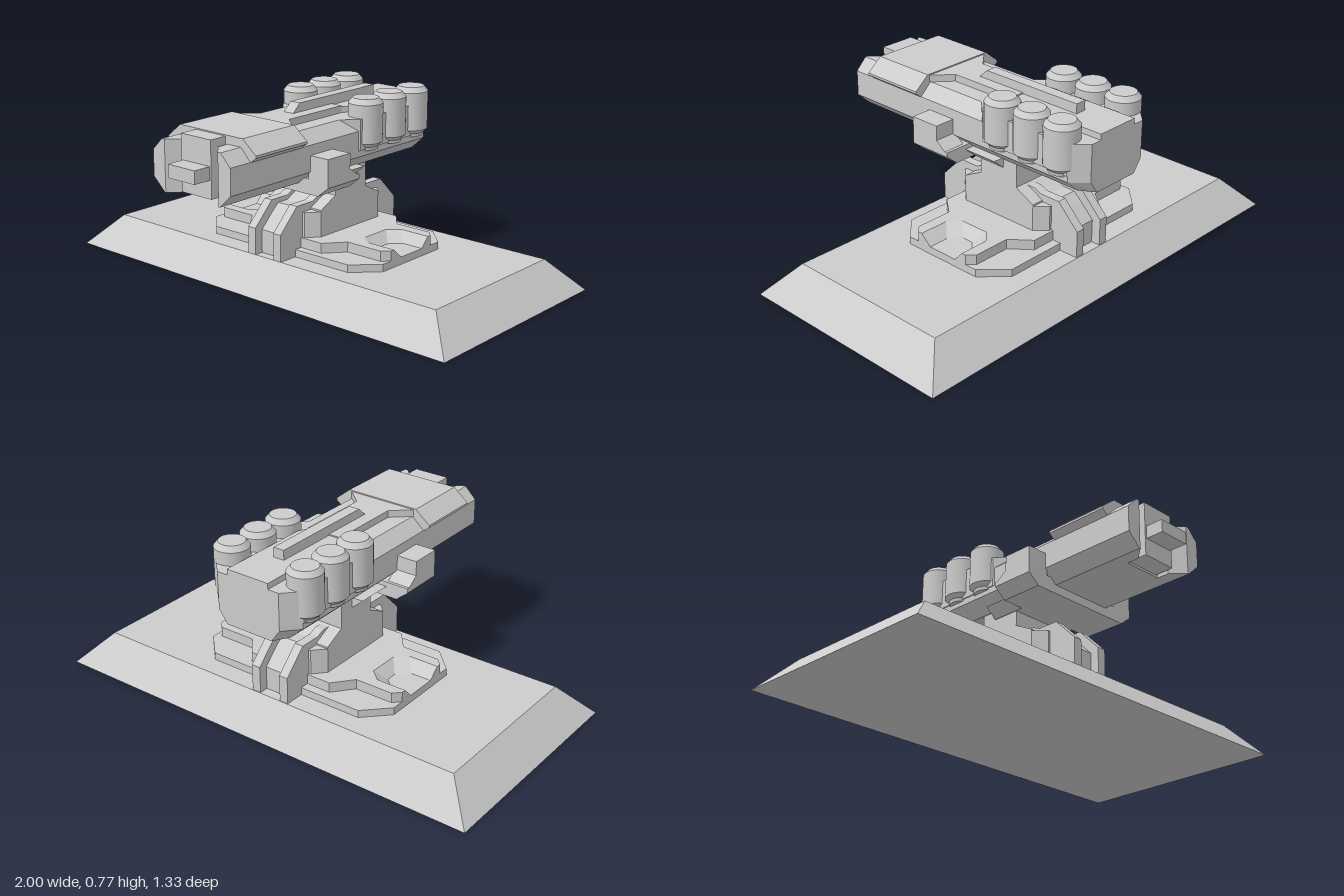
import * as THREE from 'three';
import { toCreasedNormals } from 'three/addons/utils/BufferGeometryUtils.js';

const material = new THREE.MeshStandardMaterial({ color: 0xcccccc, flatShading: true });
const smooth = new THREE.MeshStandardMaterial({ color: 0xcccccc });

// Solid between two outlines of equal point count, from h0 to h1 (along y)
function loft(a, b, h0, h1) {
  let lo = a.map(p => new THREE.Vector2(...p)), hi = b.map(p => new THREE.Vector2(...p));
  if (THREE.ShapeUtils.isClockWise(lo)) { lo.reverse(); hi.reverse(); }
  const pos = [], n = lo.length;
  const put = (p, h) => pos.push(p.x, h, -p.y);
  for (let i = 0; i < n; i++) {
    const j = (i + 1) % n;
    put(lo[i], h0); put(lo[j], h0); put(hi[j], h1);
    put(lo[i], h0); put(hi[j], h1); put(hi[i], h1);
  }
  for (const f of THREE.ShapeUtils.triangulateShape(hi, [])) f.forEach(i => put(hi[i], h1));
  for (const f of THREE.ShapeUtils.triangulateShape(lo, [])) [f[0], f[2], f[1]].forEach(i => put(lo[i], h0));
  const g = new THREE.BufferGeometry();
  g.setAttribute('position', new THREE.Float32BufferAttribute(pos, 3));
  g.computeVertexNormals();
  return g;
}
// Plan outlines (x, z) rising along y
const plan = (a, y0, y1, b = a) => loft(a.map(([x, z]) => [x, -z]), b.map(([x, z]) => [x, -z]), y0, y1);
// Front outlines (x, y) running along z
const front = (a, z0, z1, b = a) => loft(a, b, z0, z1).rotateX(Math.PI / 2);
// Side outlines (z, y) running along x
function side(pts, x0, x1) {
  const shape = new THREE.Shape(pts.map(p => new THREE.Vector2(...p)));
  return new THREE.ExtrudeGeometry(shape, { depth: x1 - x0, bevelEnabled: false })
    .rotateY(-Math.PI / 2).translate(x1, 0, 0);
}
const box = (x0, x1, y0, y1, z0, z1) => new THREE.BoxGeometry(x1 - x0, y1 - y0, z1 - z0)
  .translate((x0 + x1) / 2, (y0 + y1) / 2, (z0 + z1) / 2);
const rect = (x, z0, z1) => [[-x, z0], [x, z0], [x, z1], [-x, z1]];
// Complete a right-hand half outline by mirroring in x
const mirror = half => [...half, ...half.map(([x, v]) => [-x, v]).reverse()];

export function createModel() {
  const model = new THREE.Group();
  const add = (name, geometry, mat = material) => {
    const m = new THREE.Mesh(geometry, mat);
    m.name = name;
    model.add(m);
    return m;
  };
  const MID = -0.163; // centre of the mount in z
  const zMirror = half => [...half, ...half.map(([z, y]) => [2 * MID - z, y]).reverse()];

  // Sloped foundation
  add('foundation', plan(rect(1, -0.66, 0.33), 0, 0.135, rect(0.87, -0.54, 0.21)));

  // Stepped turntable plates with a sloping pocket on each side
  add('turntableLower', plan(mirror([
    [0.37, 0.12], [0.47, 0.02], [0.47, -0.35], [0.37, -0.45]]), 0.13, 0.167));
  const tier = (x, za, zb) => mirror([
    [0.2, 0.085], [0.27, 0.0], [0.44, 0.0], [0.47, -0.03], [0.47, za], [x + 0.05, za], [x, za - 0.045],
    [x, zb + 0.045], [x + 0.05, zb], [0.47, zb], [0.47, -0.295], [0.44, -0.326], [0.27, -0.326], [0.2, -0.411]]);
  add('turntableUpper', plan(tier(0.33, -0.1, -0.235), 0.165, 0.21, tier(0.285, -0.05, -0.276)));

  // Pedestal: chamfered column, neck and paired buttresses
  add('pedestalColumn', plan(mirror([
    [0.1, 0.075], [0.147, 0.025], [0.147, -0.35], [0.1, -0.4]]), 0.13, 0.318));
  add('neck', side(zMirror([[0.025, 0.31], [0.025, 0.325], [-0.065, 0.37], [-0.065, 0.48]]), -0.147, 0.147));
  const ribProfile = zMirror([[0.21, 0.13], [0.21, 0.25], [0.11, 0.35], [0.015, 0.35], [-0.02, 0.365]]);
  for (const s of [-1, 1]) {
    add('buttress', side(ribProfile, s * 0.07 - 0.02, s * 0.07 + 0.02));
  }
  add('buttressCore', side(zMirror([[0.17, 0.13], [0.17, 0.235], [0.11, 0.295], [0.07, 0.33]]), -0.05, 0.05));

  // Cradle under the gun with side arms
  add('cradle', front(mirror([[0.25, 0.437], [0.303, 0.48], [0.303, 0.5]]), -0.03, 0.165));
  add('cradleTail', front(mirror([[0.15, 0.437], [0.2, 0.48]]), -0.19, -0.03));
  for (const s of [-1, 1]) {
    add('cradleArm', side([[0.165, 0.49], [0.165, 0.598], [0.03, 0.598], [0.03, 0.535], [-0.03, 0.49]],
      s * 0.2515 - 0.0515, s * 0.2515 + 0.0515));
  }

  // Octagonal gun body with a tapered tail
  const half = [[0.15, 0.475], [0.21, 0.53], [0.21, 0.64], [0.155, 0.69]];
  const body = mirror(half);
  const tail = mirror([[0.11, 0.475], [0.15, 0.53], [0.15, 0.64], [0.11, 0.69]]);
  add('gunBody', front(body, -0.58, 0.5));
  add('gunTail', front(tail, -0.645, -0.58, body));

  // Muzzle end: cheeks, centre block and muzzle
  for (const s of [-1, 1]) {
    add('muzzleCheek', front([...half.slice(1, 3), [0.16, 0.69], [0.145, 0.69], [0.145, 0.475], [0.15, 0.475]]
      .map(([x, y]) => [s * x, y]), 0.49, 0.613));
    add('cheekBevel', plan([[0.145, 0.613], [0.09, 0.555], [0.09, 0.49], [0.145, 0.49]]
      .map(([x, z]) => [s * x, z]), 0.475, 0.69));
  }
  add('muzzleBlock', box(-0.08, 0.08, 0.485, 0.72, 0.45, 0.585));
  add('muzzle', box(-0.072, 0.072, 0.56, 0.615, 0.55, 0.665));

  // Forward shroud and the raised deck behind it
  add('shroud', front(mirror([[0.205, 0.635], [0.238, 0.66], [0.238, 0.67], [0.17, 0.725]]), 0.215, 0.505));
  add('deck', plan(mirror([[0.165, 0.22], [0.08, 0.145], [0.08, -0.18]]), 0.68, 0.72));
  add('rearDeck', plan(mirror([[0.08, -0.18], [0.1, -0.22], [0.1, -0.645]]), 0.66, 0.715));
  add('topFin', side([[0.06, 0.69], [0.06, 0.72], [0.02, 0.757], [-0.46, 0.757], [-0.46, 0.69]], -0.025, 0.025));

  // Rear housing carrying the canisters
  add('rearHousing', plan(mirror([
    [0.15, -0.07], [0.215, -0.14], [0.215, -0.58], [0.15, -0.645]]), 0.557, 0.69));

  // Two rows of three canisters
  const profile = [[0, 0.55], [0.052, 0.55], [0.055, 0.565], [0.073, 0.582], [0.073, 0.745], [0.055, 0.767], [0, 0.767]]
    .map(p => new THREE.Vector2(...p));
  const canister = toCreasedNormals(new THREE.LatheGeometry(profile, 32), 0.5);
  for (const x of [-0.18, 0.18]) {
    for (const z of [-0.215, -0.37, -0.523]) {
      add('canister', canister, smooth).position.set(x, 0, z);
    }
  }
  return model;
}
